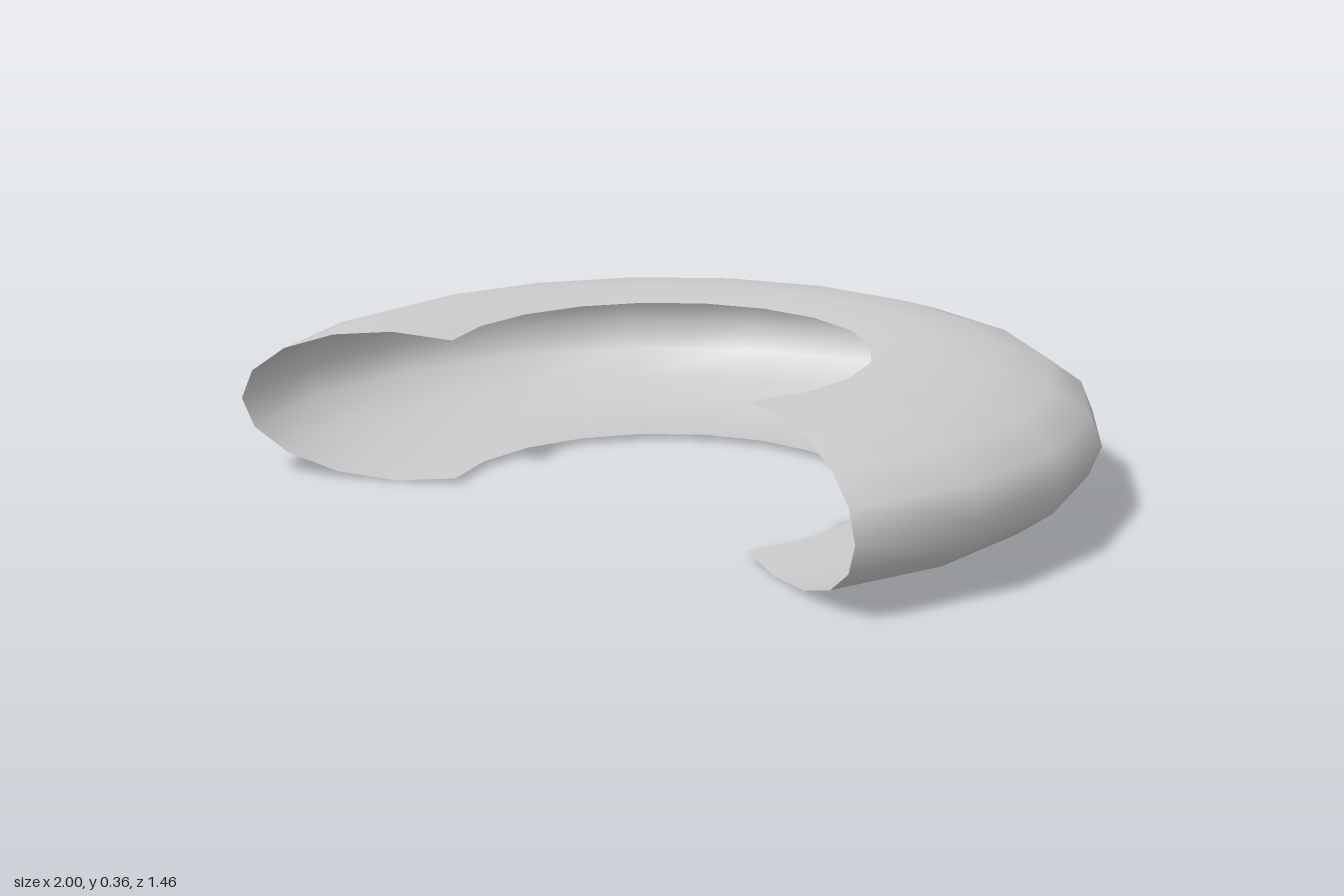
import * as THREE from 'three';

export function createModel() {
  const group = new THREE.Group();
  const rad = THREE.MathUtils.degToRad;

  // Elliptical C-shaped section, open towards the middle of the ring
  const outer = 1.0125, a = 0.3775, b = 0.18;
  const profile = [];
  for (let i = -5; i <= 5; i++) {
    const t = rad(i * 22.5);
    profile.push(new THREE.Vector2(outer - a + a * Math.cos(t), b + b * Math.sin(t)));
  }

  // Sweep through 13 steps of 18 degrees, leaving the gap at the front
  const shell = new THREE.Mesh(
    new THREE.LatheGeometry(profile, 13, rad(63), rad(234)),
    new THREE.MeshStandardMaterial({ color: 0xcccccc, side: THREE.DoubleSide })
  );
  shell.name = 'openRingShell';
  shell.position.z = 0.27;
  group.add(shell);
  return group;
}
